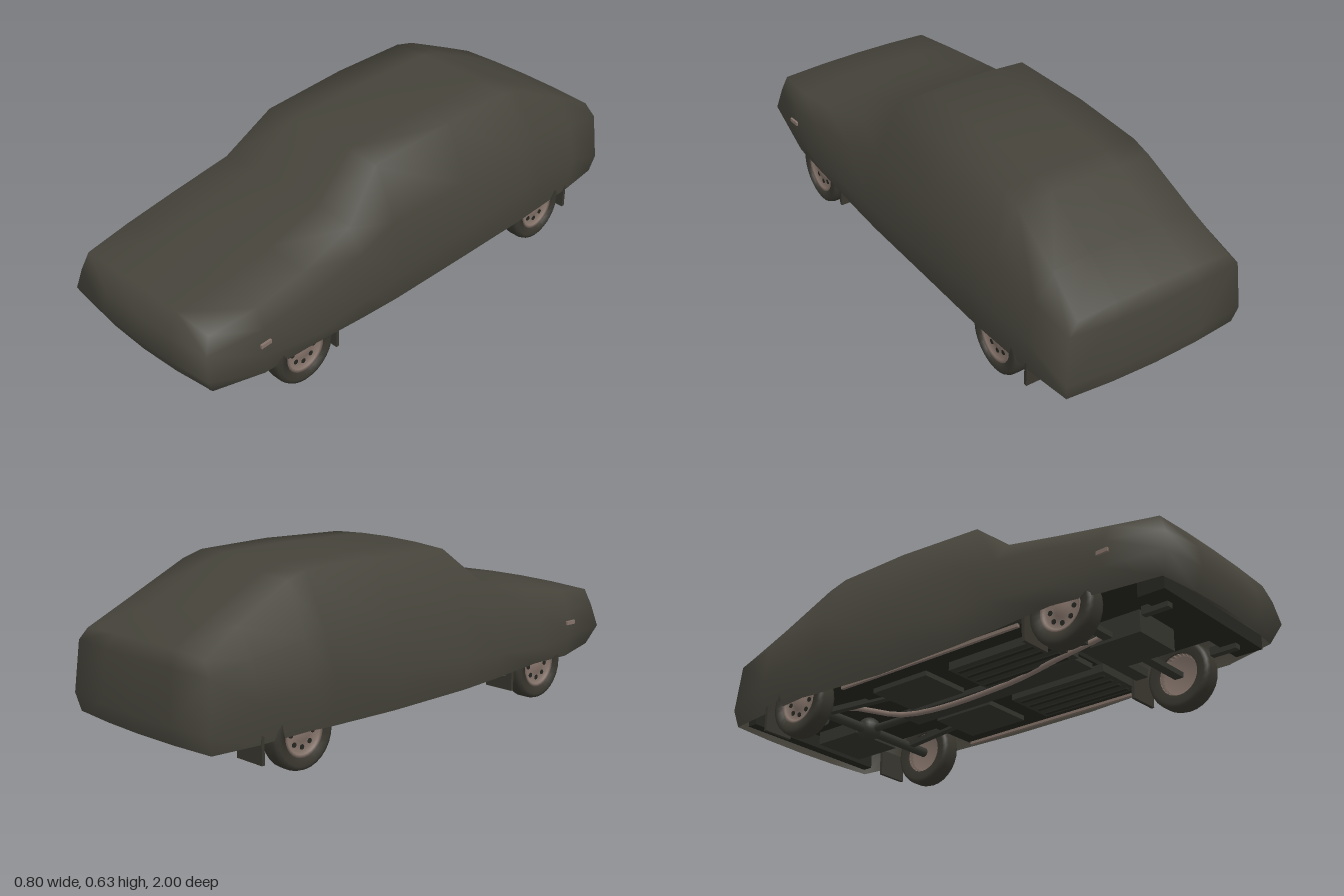
import * as THREE from 'three';

const mat = (name, color, side = THREE.FrontSide) => {
  const m = new THREE.MeshStandardMaterial({ color, side });
  m.name = name;
  return m;
};

// Cross-sections of the cloth: z, top height, then [x, y] of top edge, shoulder, widest point, hem
const SECTIONS = [
  [0.93, 0.365, [0.31, 0.355], [0.325, 0.29], [0.345, 0.21], [0.32, 0.14]],
  [0.75, 0.395, [0.33, 0.375], [0.365, 0.31], [0.378, 0.21], [0.36, 0.13]],
  [0.55, 0.43, [0.33, 0.41], [0.378, 0.345], [0.402, 0.2], [0.375, 0.14]],
  [0.32, 0.49, [0.31, 0.465], [0.37, 0.38], [0.4, 0.22], [0.375, 0.125]],
  [0.15, 0.62, [0.265, 0.608], [0.35, 0.42], [0.395, 0.23], [0.375, 0.118]],
  [-0.2, 0.63, [0.27, 0.624], [0.355, 0.42], [0.395, 0.25], [0.37, 0.115]],
  [-0.5, 0.63, [0.265, 0.623], [0.355, 0.43], [0.402, 0.29], [0.375, 0.125]],
  [-0.58, 0.61, [0.265, 0.602], [0.352, 0.43], [0.4, 0.28], [0.375, 0.13]],
  [-0.8, 0.505, [0.28, 0.495], [0.35, 0.4], [0.378, 0.26], [0.36, 0.125]],
  [-0.955, 0.425, [0.3, 0.415], [0.338, 0.37], [0.352, 0.19], [0.34, 0.125]],
];
const FRONT_LEAN = [0, 0.025, 0.04, 0.005];
const REAR_LEAN = [0, -0.01, -0.025, -0.01];

function coverGeometry() {
  const pos = [], idx = [];
  const add = (x, y, z) => pos.push(x, y, z) / 3 - 1;
  const rings = SECTIONS.map(([z, top, ...pts], i) => {
    const lean = i === 0 ? FRONT_LEAN : i === SECTIONS.length - 1 ? REAR_LEAN : [0, 0, 0, 0];
    const half = pts.map(([x, y], k) => [x, y, z + lean[k]]).reverse();
    const [ex, ey] = pts[0];
    half.push([ex / 2, ey + (top - ey) * 0.75, z]);
    const mirrored = half.map(([x, y, pz]) => [-x, y, pz]).reverse();
    return [...half, [0, top, z], ...mirrored].map((p) => add(...p));
  });
  const skin = (rows, flip) => {
    for (let i = 0; i < rows.length - 1; i++)
      for (let j = 0; j < rows[i].length - 1; j++) {
        const a = rows[i][j], b = rows[i][j + 1], c = rows[i + 1][j], d = rows[i + 1][j + 1];
        if (flip) idx.push(a, b, c, b, d, c);
        else idx.push(a, c, b, c, d, b);
      }
  };
  skin(rings, false);
  // Bulging end faces spanning the first and last rings
  const cap = (ring, bulge, flip) => {
    const rows = [ring.slice(3, 8)];
    for (let k = 1; k <= 3; k++) {
      const [x, y, z] = pos.slice(ring[3 - k] * 3, ring[3 - k] * 3 + 3);
      const middle = [0.5, 0, -0.5].map((t) => add(x * t, y, z + bulge * (1 - t * t)));
      rows.push([ring[3 - k], ...middle, ring[7 + k]]);
    }
    skin(rows, flip);
  };
  cap(rings[0], 0.025, true);
  cap(rings[rings.length - 1], -0.02, false);
  // The skin helper's row order runs downward here, so both caps face outward
  const g = new THREE.BufferGeometry();
  g.setAttribute('position', new THREE.Float32BufferAttribute(pos, 3));
  g.setIndex(idx.map((v) => v));
  g.computeVertexNormals();
  return g;
}

export function createModel() {
  const cloth = mat('cover cloth', 0x45433a, THREE.DoubleSide);
  const under = mat('underbody', 0x252620);
  const metal = mat('chassis metal', 0x33342e);
  const rubber = mat('tyre rubber', 0x38362e);
  const alloy = mat('wheel alloy', 0x84736a);
  const model = new THREE.Group();
  model.name = 'coveredCar';

  const mesh = (name, geo, material, x = 0, y = 0, z = 0, parent = model) => {
    const m = new THREE.Mesh(geo, material);
    m.name = name;
    m.position.set(x, y, z);
    parent.add(m);
    return m;
  };
  const box = (name, w, h, d, material, x, y, z) =>
    mesh(name, new THREE.BoxGeometry(w, h, d), material, x, y, z);
  const tube = (name, pts, r, material) => mesh(name, new THREE.TubeGeometry(
    new THREE.CatmullRomCurve3(pts.map((p) => new THREE.Vector3(...p))), 24, r, 8), material);

  mesh('carCover', coverGeometry(), cloth);

  // Wheels: lathed tyre, dished rim and a ring of dark openings
  const tyreGeo = new THREE.LatheGeometry([
    [0.078, -0.032], [0.108, -0.038], [0.12, -0.033], [0.125, -0.02],
    [0.125, 0.02], [0.12, 0.033], [0.108, 0.038], [0.078, 0.032], [0.078, -0.032],
  ].map(([r, y]) => new THREE.Vector2(r, y)), 28);
  const rimGeo = new THREE.LatheGeometry([
    [0, -0.01], [0.07, -0.01], [0.08, -0.03], [0.08, 0.033], [0.07, 0.03],
    [0.062, 0.02], [0.03, 0.022], [0.024, 0.03], [0, 0.03],
  ].map(([r, y]) => new THREE.Vector2(r, y)), 28);
  const holeGeo = new THREE.CylinderGeometry(0.009, 0.009, 0.006, 10);
  for (const side of [1, -1])
    for (const z of [0.58, -0.61]) {
      const wheel = new THREE.Group();
      wheel.name = (z > 0 ? 'front' : 'rear') + (side > 0 ? 'LeftWheel' : 'RightWheel');
      wheel.position.set(side * 0.335, 0.125, z);
      wheel.rotation.z = -side * Math.PI / 2;
      model.add(wheel);
      mesh('tyre', tyreGeo, rubber, 0, 0, 0, wheel);
      mesh('rim', rimGeo, alloy, 0, 0, 0, wheel);
      for (let i = 0; i < 8; i++) {
        const a = (i / 8) * Math.PI * 2;
        mesh('rimOpening', holeGeo, under, Math.cos(a) * 0.047, 0.02, Math.sin(a) * 0.047, wheel);
      }
      // Mud flap behind each wheel
      box('mudFlap', 0.12, 0.1, 0.012, rubber, side * 0.305, 0.107, z > 0 ? 0.43 : -0.78);
    }

  // Floor: narrow at the wheels, wide between them
  box('frontFloor', 0.52, 0.02, 0.46, under, 0, 0.2, 0.64);
  box('middleFloor', 0.7, 0.02, 0.82, under, 0, 0.14, 0.0);
  box('rearFloor', 0.54, 0.02, 0.54, under, 0, 0.2, -0.67);
  box('frontValance', 0.58, 0.05, 0.1, under, 0, 0.14, 0.87);
  box('rearValance', 0.62, 0.05, 0.04, under, 0, 0.155, -0.92);
  box('transmissionTunnel', 0.1, 0.025, 0.8, metal, 0, 0.123, 0.0);

  for (const side of [1, -1]) {
    box('floorPan', 0.2, 0.03, 0.4, metal, side * 0.17, 0.115, 0.23);
    for (let i = 0; i < 4; i++)
      box('floorRib', 0.014, 0.008, 0.36, under, side * (0.1 + i * 0.047), 0.098, 0.23);
    box('rearFloorPan', 0.2, 0.02, 0.25, metal, side * 0.17, 0.122, -0.2);
    box('sillStrip', 0.012, 0.012, 0.8, alloy, side * 0.352, 0.126, 0);
    box('towHook', 0.025, 0.03, 0.1, metal, side * 0.2, 0.112, 0.83);
    box('suspensionArm', 0.2, 0.02, 0.035, metal, side * 0.21, 0.12, 0.58);
    const link = box('trailingLink', 0.025, 0.02, 0.3, metal, side * 0.2, 0.13, -0.46);
    link.rotation.y = -side * 0.15;
    // Marker lamp showing through the cloth on the front wing
    const lamp = box('markerLamp', 0.008, 0.014, 0.045, alloy, side * 0.377, 0.262, 0.755);
    lamp.rotation.y = side * 0.06;
  }

  // Engine, axles and exhaust
  box('engineSump', 0.2, 0.08, 0.2, metal, 0, 0.145, 0.6);
  box('crossMember', 0.46, 0.03, 0.05, metal, 0, 0.125, 0.48);
  const axle = mesh('rearAxle', new THREE.CylinderGeometry(0.018, 0.018, 0.62, 12), metal, 0, 0.125, -0.61);
  axle.rotation.z = Math.PI / 2;
  mesh('differential', new THREE.SphereGeometry(0.045, 16, 12), metal, 0, 0.13, -0.61);
  const shaft = mesh('driveShaft', new THREE.CylinderGeometry(0.014, 0.014, 0.4, 10), metal, 0, 0.125, -0.4);
  shaft.rotation.x = Math.PI / 2;
  tube('exhaustPipe', [[-0.1, 0.13, 0.55], [-0.12, 0.1, 0.42], [-0.06, 0.095, 0.1],
    [-0.07, 0.1, -0.35], [-0.15, 0.165, -0.6], [-0.17, 0.14, -0.9]], 0.01, alloy);
  const muffler = mesh('muffler', new THREE.CylinderGeometry(0.035, 0.035, 0.17, 14), metal, -0.16, 0.155, -0.78);
  muffler.rotation.x = Math.PI / 2;
  box('fuelTank', 0.22, 0.05, 0.2, metal, 0.12, 0.165, -0.79);
  return model;
}
